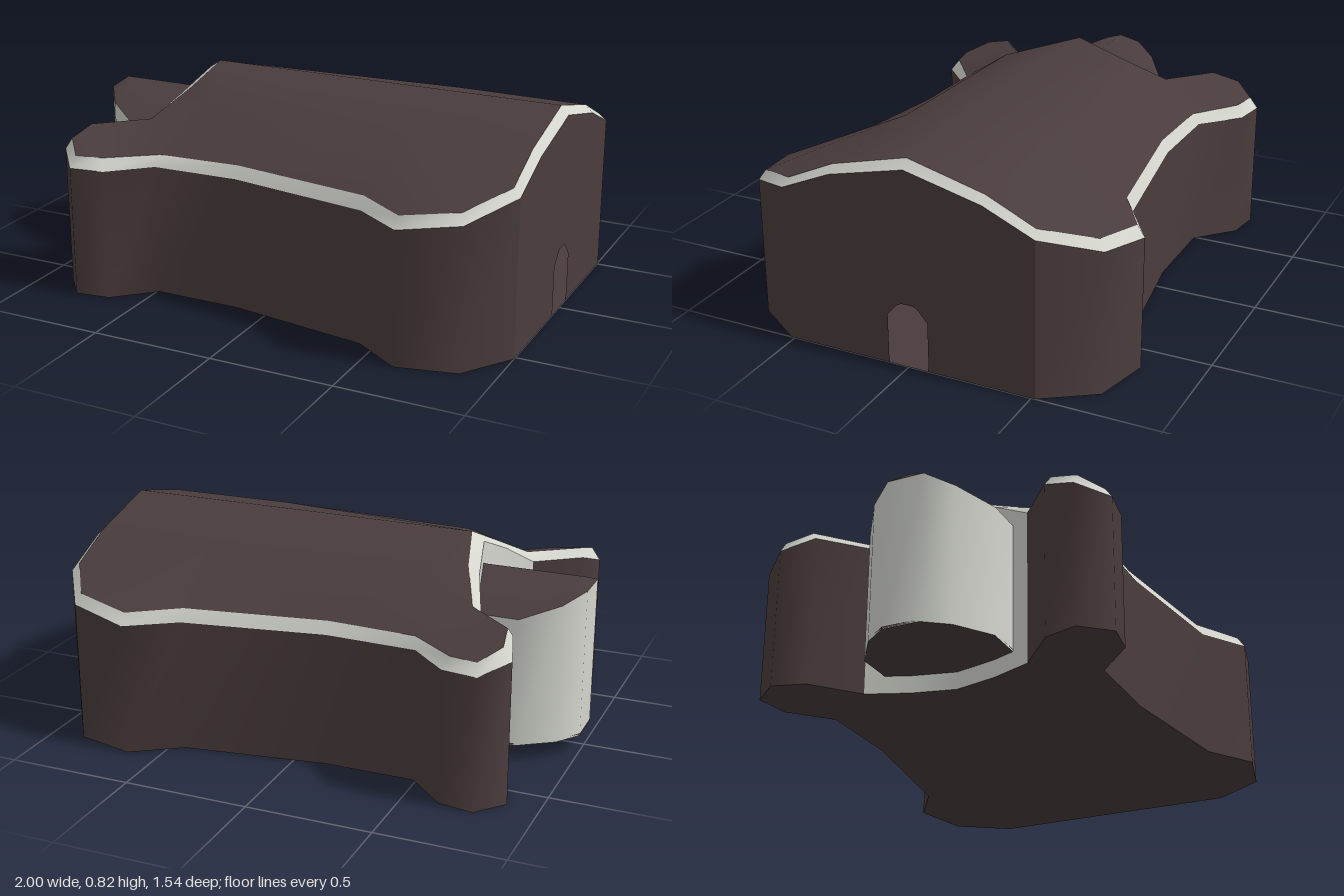
import * as THREE from 'three';
import { mergeVertices } from 'three/addons/utils/BufferGeometryUtils.js';

const dark = new THREE.MeshStandardMaterial({ color: 0x4a3c3c, side: THREE.DoubleSide });
dark.name = 'darkBrown';
const light = new THREE.MeshStandardMaterial({ color: 0xd4d6ce, side: THREE.DoubleSide });
light.name = 'paleGrey';

const flip = ([x, y, z]) => [x, y, -z];

function surface(points, index) {
  let geo = new THREE.BufferGeometry();
  geo.setAttribute('position', new THREE.Float32BufferAttribute(points.flat(), 3));
  geo.setIndex(index);
  geo = mergeVertices(geo);
  geo.computeVertexNormals();
  return geo;
}

// Quads between two matching rows of points, for the chosen segments
function strip(lower, upper, segments) {
  const n = lower.length;
  const index = [];
  for (const i of segments) {
    const j = (i + 1) % n;
    index.push(j, i, n + i, j, n + i, n + j);
  }
  return surface([...lower, ...upper], index);
}

const range = (a, b) => Array.from({ length: b - a }, (_, i) => a + i);

// Half outlines, from the middle of the end wall round to the middle of the notch
const roofHalf = [
  [0.97, 0.825, 0], [0.97, 0.745, 0.31], [0.97, 0.655, 0.505], [0.85, 0.605, 0.69],
  [0.63, 0.575, 0.74], [0.44, 0.58, 0.62], [-0.13, 0.583, 0.535], [-0.48, 0.575, 0.535],
  [-0.66, 0.575, 0.67], [-0.77, 0.575, 0.69], [-0.84, 0.615, 0.61], [-0.82, 0.645, 0.5],
  [-0.635, 0.65, 0.35], [-0.555, 0.745, 0.17], [-0.51, 0.825, 0],
];
const wallHalf = [
  [1, 0.79, 0], [1, 0.715, 0.31], [1, 0.625, 0.515], [0.865, 0.565, 0.715],
  [0.63, 0.53, 0.77], [0.44, 0.53, 0.645], [-0.13, 0.535, 0.56], [-0.49, 0.53, 0.56],
  [-0.64, 0.53, 0.7], [-0.78, 0.53, 0.72], [-0.875, 0.565, 0.61], [-0.835, 0.61, 0.48],
  [-0.665, 0.615, 0.335], [-0.6, 0.715, 0.17], [-0.56, 0.79, 0],
];
const fullLoop = (half) => [...half, ...half.slice(1, -1).reverse().map(flip)];

export function createModel() {
  const model = new THREE.Group();
  const add = (name, geo, mat) => {
    const mesh = new THREE.Mesh(geo, mat);
    mesh.name = name;
    model.add(mesh);
    return mesh;
  };

  const wallTop = fullLoop(wallHalf);
  const wallBase = wallTop.map(([x, , z]) => [x, 0, z]);
  const roofEdge = fullLoop(roofHalf);

  // Walls, the pale wall in the notch, and the bevelled rim
  add('sideWalls', strip(wallBase, wallTop, [...range(2, 12), ...range(16, 26)]), dark);
  add('notchWall', strip(wallBase, wallTop, range(12, 16)), light);
  add('roofRim', strip(wallTop, roofEdge, range(0, 28)), light);

  // End wall with an arched doorway
  const end = [
    [0.515, 0], [0.515, 0.625], [0.31, 0.715], [0, 0.79], [-0.31, 0.715], [-0.515, 0.625],
    [-0.515, 0], [-0.083, 0], [-0.083, 0.2], [-0.045, 0.245], [-0.025, 0.257],
    [0.025, 0.257], [0.045, 0.245], [0.083, 0.2], [0.083, 0],
  ].map(([u, v]) => new THREE.Vector2(u, v));
  const endGeo = new THREE.ShapeGeometry(new THREE.Shape(end));
  endGeo.rotateY(Math.PI / 2).translate(1, 0, 0);
  add('endWall', endGeo, dark);

  // Floor
  const floorShape = new THREE.Shape(wallBase.map(([x, , z]) => new THREE.Vector2(x, z)));
  add('floor', new THREE.ShapeGeometry(floorShape).rotateX(Math.PI / 2), dark);

  // Pitched roof: rim points plus two inner points (15, 16) on each slope
  const slope = [...roofHalf, [0.44, 0.748, 0.31], [-0.4, 0.735, 0.3]];
  const faces = [
    [0, 1, 15], [1, 2, 15], [2, 3, 15], [3, 4, 15], [4, 5, 15], [5, 6, 15], [6, 16, 15],
    [6, 7, 16], [7, 12, 16], [12, 13, 16], [13, 14, 16], [14, 0, 15], [14, 15, 16],
    [7, 8, 12], [8, 11, 12], [8, 10, 11], [8, 9, 10],
  ];
  const roofIndex = faces.flatMap(([a, b, c]) => {
    const m = slope.length;
    return [c, b, a, a + m, b + m, c + m];
  });
  add('roof', surface([...slope, ...slope.map(flip)], roofIndex), dark);

  // Rounded bay in the notch: pale wall, dark roof and floor slab
  const mirrorRow = (row) => [...row, ...row.map(flip).reverse()];
  const bayTop = mirrorRow([
    [-0.55, 0.59, 0.265], [-0.79, 0.59, 0.265], [-0.93, 0.632, 0.17], [-1, 0.67, 0.075],
  ]);
  const bayBase = bayTop.map(([x, , z]) => [x, 0.07, z]);
  const bayRidge = mirrorRow([[-0.55, 0.7, 0], [-0.79, 0.7, 0], [-0.93, 0.7, 0], [-0.97, 0.7, 0]]);
  add('bayWall', strip(bayBase, bayTop, range(0, 7)), light);
  add('bayRoof', strip(bayTop, bayRidge, range(0, 7)), dark);

  const bayShape = new THREE.Shape(bayBase.map(([x, , z]) => new THREE.Vector2(x, z)));
  const slab = new THREE.ExtrudeGeometry(bayShape, { depth: 0.01, bevelEnabled: false });
  add('bayFloor', slab.rotateX(Math.PI / 2).translate(0, 0.08, 0), dark);

  return model;
}
